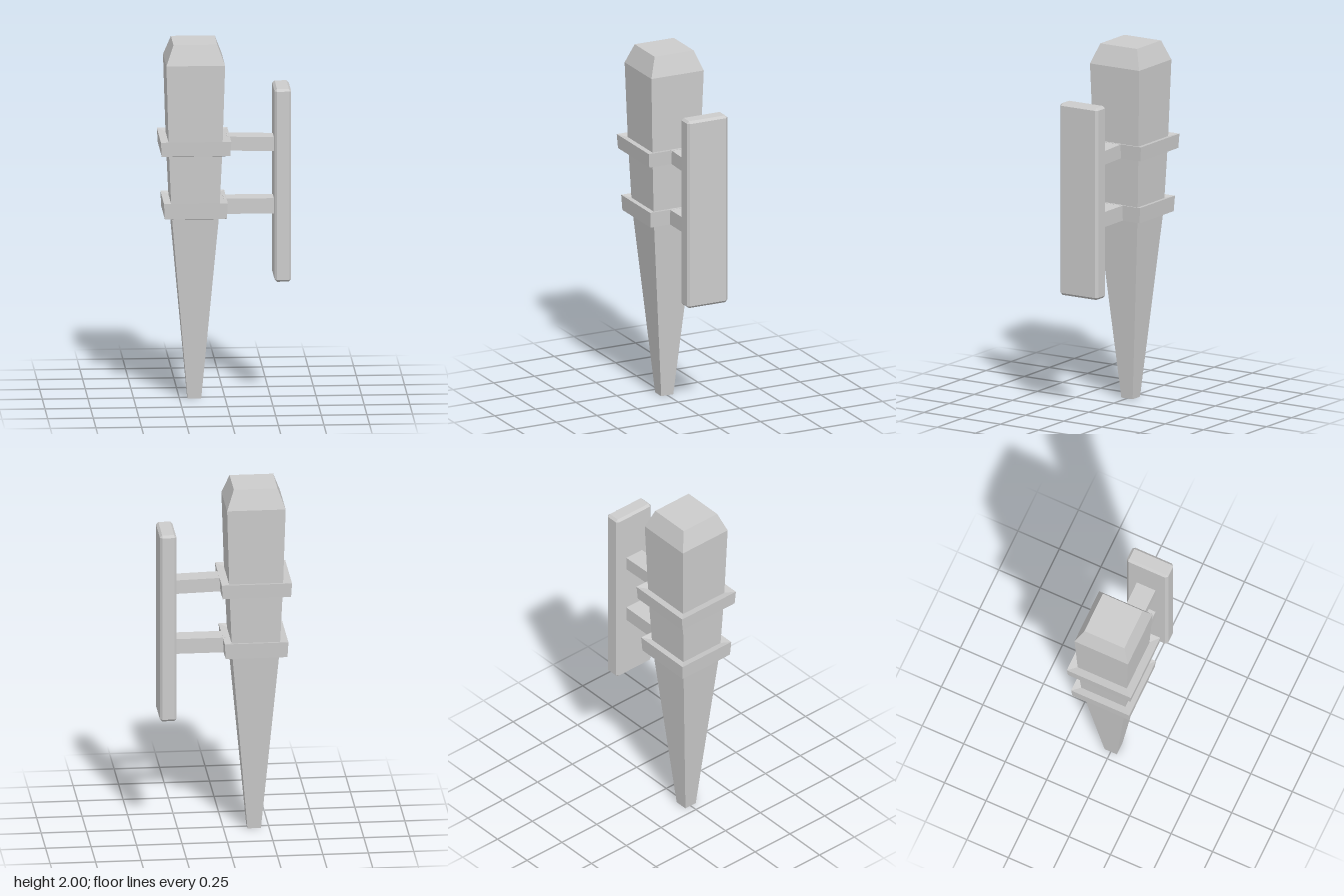
import * as THREE from 'three';
import { ConvexGeometry } from 'three/addons/geometries/ConvexGeometry.js';

const material = new THREE.MeshStandardMaterial({ color: 0xcccccc, flatShading: true });
const CORE_X = -0.168;

function addMesh(parent, name, geometry, x = 0, y = 0, z = 0) {
  const mesh = new THREE.Mesh(geometry, material);
  mesh.name = name;
  mesh.position.set(x, y, z);
  parent.add(mesh);
  return mesh;
}

// Square solid or ring from a profile of [half width, height], bottom to top
function squareLathe(profile) {
  const points = profile.map(([half, y]) => new THREE.Vector2(half * Math.SQRT2, y));
  const geometry = new THREE.LatheGeometry(points, 4, Math.PI / 4).toNonIndexed();
  geometry.computeVertexNormals();
  return geometry;
}

// Box with a flat chamfer on every edge
function chamferedBox(w, h, d, c) {
  const points = [];
  for (const sx of [-1, 1]) for (const sy of [-1, 1]) for (const sz of [-1, 1]) {
    for (let axis = 0; axis < 3; axis++) {
      const p = [w / 2 - c, h / 2 - c, d / 2 - c];
      p[axis] += c;
      points.push(new THREE.Vector3(sx * p[0], sy * p[1], sz * p[2]));
    }
  }
  return new ConvexGeometry(points);
}

export function createModel() {
  const model = new THREE.Group();
  model.name = 'taperedPostWithGuard';

  // Tapered post with a bevelled top
  addMesh(model, 'post', squareLathe([
    [0, 0], [0.037, 0], [0.131, 1.06], [0.147, 1.42], [0.161, 1.89], [0.12, 2], [0, 2],
  ]), CORE_X);

  // Two collars, each with an arm reaching to the side plate
  const collars = [
    { name: 'lower', half: 0.175, inner: 0.125, bottom: 1.035, top: 1.122, drop: 0 },
    { name: 'upper', half: 0.193, inner: 0.141, bottom: 1.39, top: 1.47, drop: 0.007 },
  ];
  for (const { name, half, inner, bottom, top, drop } of collars) {
    addMesh(model, name + 'Collar', squareLathe([
      [inner, bottom - 0.012], [half - 0.005, bottom], [half, top], [inner, top - 0.012], [inner, bottom - 0.012],
    ]), CORE_X);

    const start = CORE_X + half - 0.015;
    const end = 0.275;
    const arm = new THREE.BoxGeometry(end - start, top - bottom - 0.002, 0.112);
    // The arm falls slightly toward the plate
    const pos = arm.attributes.position;
    for (let i = 0; i < pos.count; i++) {
      if (pos.getX(i) > 0) pos.setY(i, pos.getY(i) - drop);
    }
    arm.computeVertexNormals();
    addMesh(model, name + 'Arm', arm, (start + end) / 2, (top + bottom) / 2, -0.004);
  }

  // Chamfered upright side plate
  addMesh(model, 'sidePlate', chamferedBox(0.091, 1.08, 0.248, 0.013), 0.3125, 1.205, -0.001);

  return model;
}
